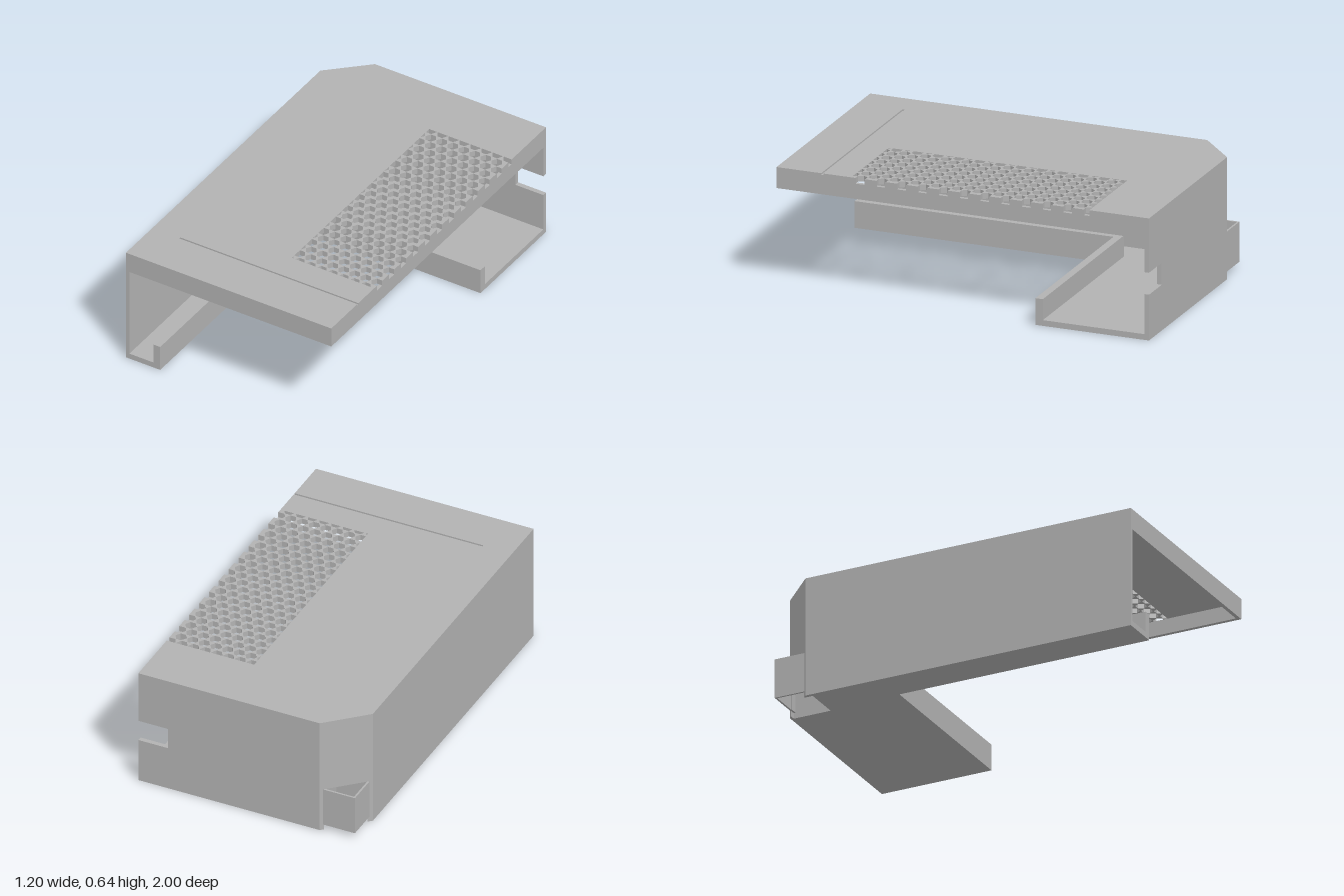
import * as THREE from 'three';

const grey = new THREE.MeshStandardMaterial({ color: 0xb2b2b2 });
grey.name = 'grey';

// Prism from an outline of [x, z] points, between two heights
function slab(name, outline, y0, y1, holes = []) {
  const toVec = (p) => new THREE.Vector2(p[0], p[1]);
  const shape = new THREE.Shape(outline.map(toVec));
  shape.holes = holes.map((h) => new THREE.Path(h.map(toVec)));
  const geo = new THREE.ExtrudeGeometry(shape, { depth: y1 - y0, bevelEnabled: false });
  geo.rotateX(Math.PI / 2).translate(0, y1, 0);
  const mesh = new THREE.Mesh(geo, grey);
  mesh.name = name;
  return mesh;
}

const rect = (x0, x1, z0, z1) => [[x0, z0], [x1, z0], [x1, z1], [x0, z1]];

// Keep the part of a polygon where sign * p[axis] <= sign * limit
function clip(poly, axis, limit, sign) {
  const out = [];
  poly.forEach((a, i) => {
    const b = poly[(i + 1) % poly.length];
    const da = sign * (a[axis] - limit), db = sign * (b[axis] - limit);
    if (da <= 0) out.push(a);
    if (da * db < 0) {
      const t = da / (da - db);
      const p = [a[0] + (b[0] - a[0]) * t, a[1] + (b[1] - a[1]) * t];
      p[axis] = limit;
      out.push(p);
    }
  });
  return out;
}

// Hexagonal vent holes; those reaching the open side become edge notches
function ventHoles() {
  const R = 0.03, pitch = 0.0643, row = 0.0557, edge = 0.6;
  const holes = [], notches = [];
  for (let r = -1; r <= 22; r++) {
    const z = 0.55 - r * row;
    const x0 = r % 2 === 0 ? 0.583 : 0.583 - pitch / 2;
    for (let c = 0; c < 8; c++) {
      let hex = [];
      for (let k = 0; k < 6; k++) {
        const a = (k * Math.PI) / 3;
        hex.push([x0 - c * pitch + R * Math.cos(a), z + R * Math.sin(a)]);
      }
      hex = clip(hex, 0, 0.118, -1);
      hex = clip(hex, 1, -0.68, -1);
      hex = clip(hex, 1, 0.6, 1);
      hex = clip(hex, 0, edge, 1);
      if (hex.length < 3) continue;
      const n = hex.length;
      const start = hex.findIndex((p, i) => p[0] === edge && hex[(i + n - 1) % n][0] === edge);
      if (start < 0) holes.push(hex);
      else notches.push([...hex.slice(start), ...hex.slice(0, start)]);
    }
  }
  return { holes, notches };
}

export function createModel() {
  const model = new THREE.Group();
  model.name = 'caseShell';

  // Top plate with cut corner, vent grille and a shallow groove
  const { holes, notches } = ventHoles();
  const notchEdge = notches.flat();
  const corner = [[-0.4, -1], [-0.6, -0.81], [-0.6, 1], [0.6, 1]];
  const groove = [[0.6, 0.76], [-0.44, 0.76], [-0.44, 0.748], [0.6, 0.748]];
  model.add(slab('topPlate', [...corner, ...notchEdge, [0.6, -1]], 0.61, 0.632, holes));
  model.add(slab('topSkin', [...corner, ...groove, ...notchEdge, [0.6, -1]], 0.632, 0.64, holes));

  // Rims hanging from the open edges
  model.add(slab('frontRim', rect(-0.58, 0.6, 0.98, 1), 0.53, 0.61));
  model.add(slab('sideRim', rect(0.58, 0.6, -0.975, 0.98), 0.53, 0.61));

  // Side, corner and back walls, with a port cut at the back wall's end
  const wall = (xEnd) => [
    [-0.6, 1], [-0.58, 1], [-0.58, -0.805], [-0.408, -0.975],
    [xEnd, -0.975], [xEnd, -1], [-0.4, -1], [-0.6, -0.81],
  ];
  model.add(slab('upperWall', wall(0.6), 0.355, 0.61));
  model.add(slab('middleWall', wall(0.437), 0.24, 0.355));
  model.add(slab('lowerSideWall', [[-0.6, 1], [-0.58, 1], [-0.58, -0.829], [-0.6, -0.81]], 0.03, 0.24));
  model.add(slab('lowerBackWall', [[0.6, -1], [0.6, -0.975], [-0.426, -0.975], [-0.4, -1]], 0.03, 0.24));

  // L-shaped floor with an opening under the corner sleeve
  model.add(slab('floor', [
    [-0.6, 1], [-0.4, 1], [-0.4, -0.39], [0.6, -0.39], [0.6, -1], [-0.4, -1], [-0.416, -0.985],
    [-0.385, -0.985], [-0.385, -0.78], [-0.58, -0.78], [-0.58, -0.829], [-0.6, -0.81],
  ], 0, 0.03));

  // Raised lip along the floor's inner edge
  model.add(slab('floorLip', [
    [-0.44, 1], [-0.4, 1], [-0.4, -0.39], [0.6, -0.39], [0.6, -0.43], [-0.44, -0.43],
  ], 0.03, 0.14));

  // Open square sleeve through the cut corner
  model.add(slab('cornerSleeve', rect(-0.588, -0.375, -0.988, -0.77), 0.03, 0.24,
    [rect(-0.578, -0.385, -0.978, -0.78)]));

  return model;
}
